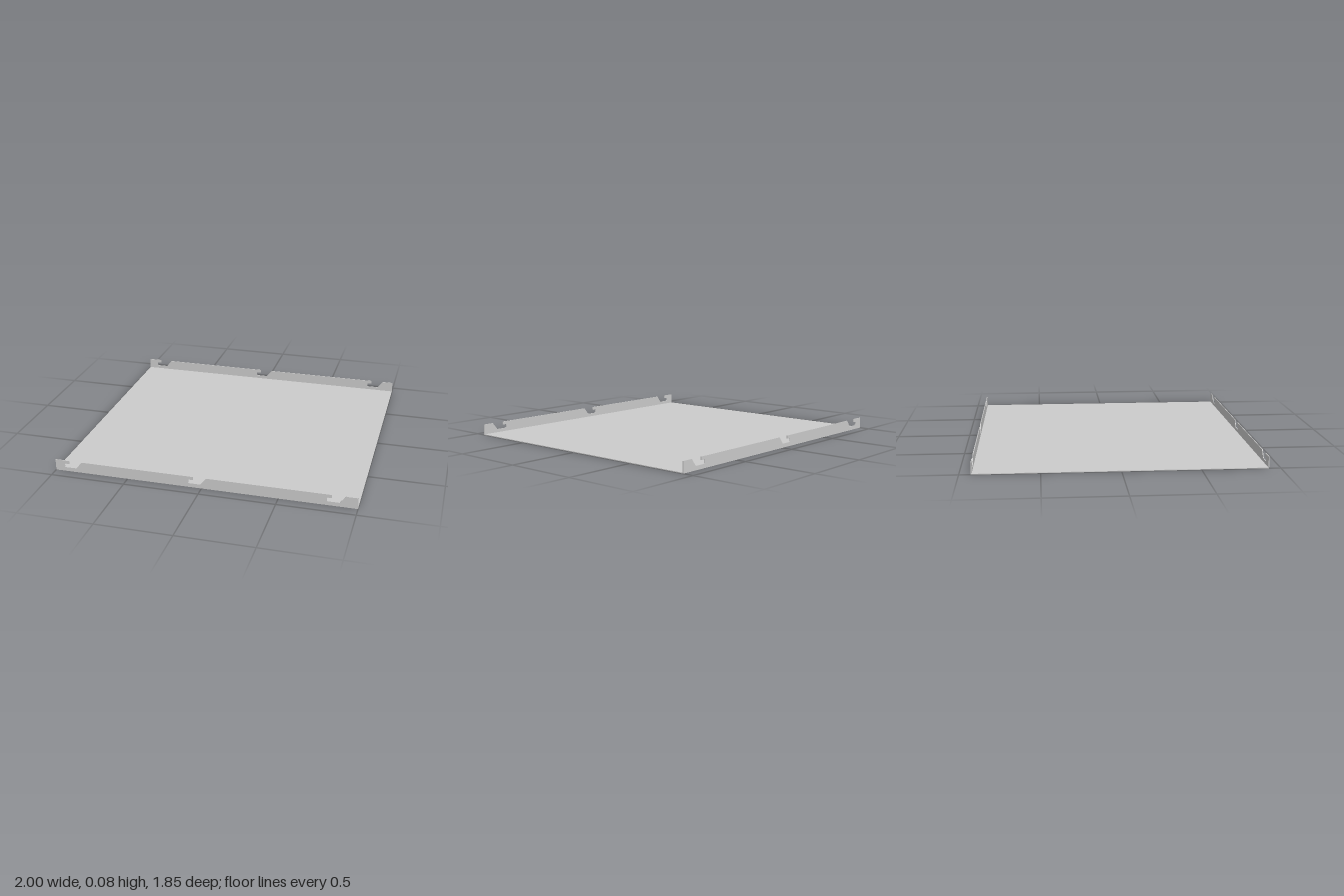
import * as THREE from 'three';

const HALF_X = 1, HALF_Z = 0.926, HEIGHT = 0.075, THICK = 0.005;

export function createModel() {
  const group = new THREE.Group();
  const material = new THREE.MeshStandardMaterial({ color: 0xcccccc, flatShading: true });

  // Flat sheet
  const panel = new THREE.Mesh(new THREE.BoxGeometry(2 * HALF_X, THICK, 2 * HALF_Z), material);
  panel.name = 'basePanel';
  panel.position.y = THICK / 2;
  group.add(panel);

  // Flange outline with three hooked notches cut into its top edge
  const flange = new THREE.Shape();
  flange.moveTo(-HALF_X, THICK);
  flange.lineTo(-HALF_X, HEIGHT);
  const notch = [
    [0, HEIGHT], [0, 0.053], [-0.026, 0.053], [-0.031, 0.048],
    [-0.031, 0.032], [-0.026, 0.027], [0.05, 0.027], [0.088, HEIGHT],
  ];
  for (const x of [-0.905, -0.057, 0.836]) {
    for (const [dx, y] of notch) flange.lineTo(x + dx, y);
  }
  flange.lineTo(HALF_X, HEIGHT);
  flange.lineTo(HALF_X, THICK);
  flange.closePath();
  const flangeGeometry = new THREE.ExtrudeGeometry(flange, { depth: THICK, bevelEnabled: false });

  // Upright flanges along the front and back edges
  for (const [name, z] of [['frontFlange', HALF_Z - THICK], ['backFlange', -HALF_Z]]) {
    const mesh = new THREE.Mesh(flangeGeometry, material);
    mesh.name = name;
    mesh.position.z = z;
    group.add(mesh);
  }
  return group;
}
